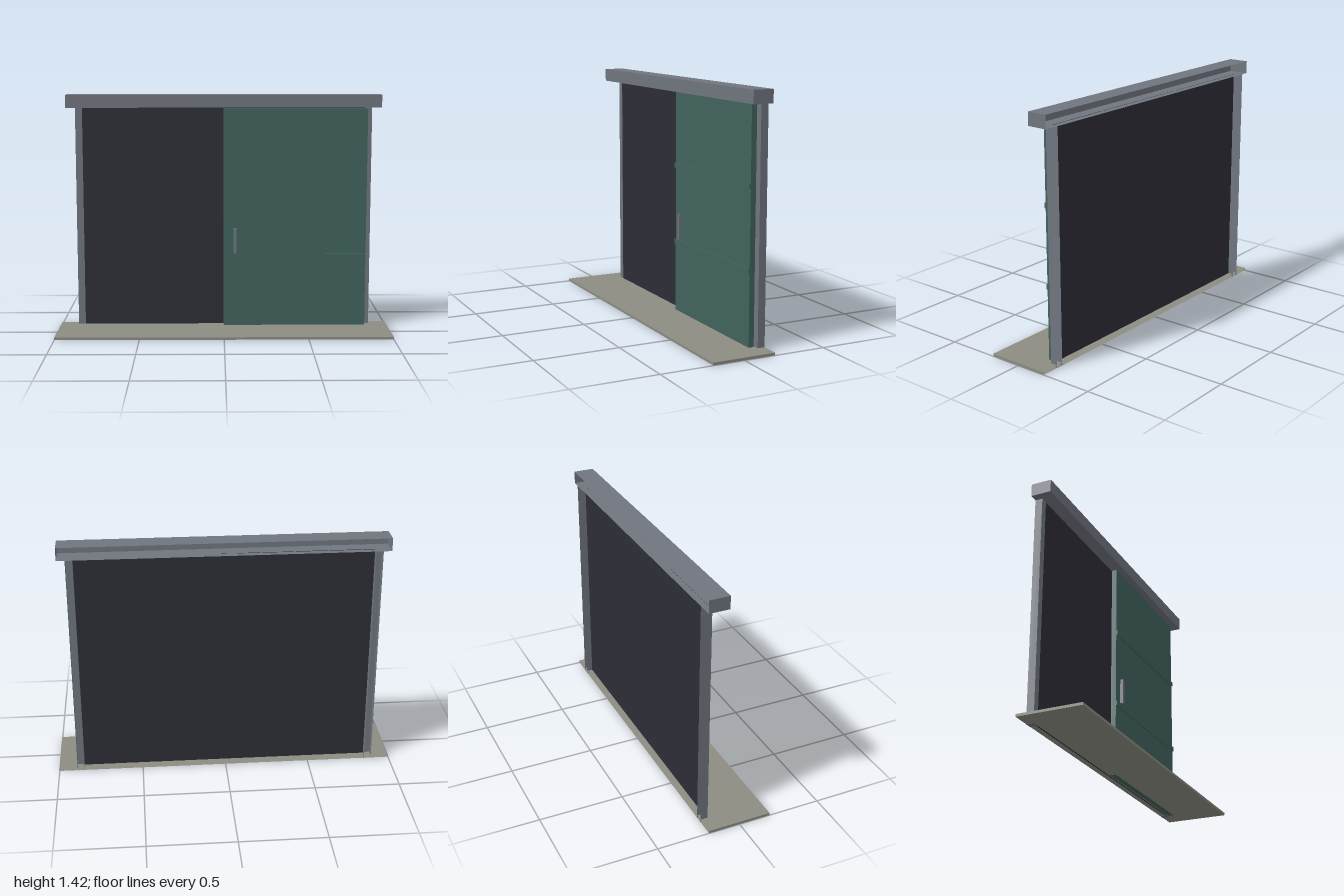
import * as THREE from 'three';

const paint = (name, color, side = THREE.FrontSide) => {
  const m = new THREE.MeshStandardMaterial({ color, side });
  m.name = name;
  return m;
};

// Box given by its limits; openBack leaves out the face toward -z
function block(name, material, [x0, x1], [y0, y1], [z0, z1], openBack = false) {
  const geo = new THREE.BoxGeometry(x1 - x0, y1 - y0, z1 - z0);
  if (openBack) {
    geo.setIndex(Array.from(geo.index.array).slice(0, 30));
    geo.clearGroups();
  }
  const mesh = new THREE.Mesh(geo, material);
  mesh.position.set((x0 + x1) / 2, (y0 + y1) / 2, (z0 + z1) / 2);
  mesh.name = name;
  return mesh;
}

export function createModel() {
  const steel = paint('steel grey', 0x70757e, THREE.DoubleSide);
  const stone = paint('threshold stone', 0x8c8c83, THREE.DoubleSide);
  const green = paint('door green', 0x41635c);
  const dark = paint('dark opening', 0x2d2d37);
  const model = new THREE.Group();
  model.name = 'slidingDoor';
  const back = -0.19;

  // Threshold slab, open along the rear
  model.add(block('threshold', stone, [-1, 1], [0.001, 0.016], [back, 0.19], true));

  // Dark opening behind the door
  model.add(block('opening', dark, [-0.85, 0.85], [0, 1.348], [-0.154, -0.147]));

  // Hollow frame: two posts and the track cover above
  model.add(block('rightPost', steel, [-0.892, -0.85], [0, 1.348], [back, -0.146], true));
  model.add(block('leftPost', steel, [0.85, 0.892], [0, 1.348], [back, -0.146], true));
  model.add(block('trackCover', steel, [-0.94, 0.94], [1.348, 1.424], [back, -0.069], true));

  // Sliding leaf with two cross rails and a pull handle
  const door = new THREE.Group();
  door.name = 'doorLeaf';
  door.add(block('doorPanel', green, [0, 0.863], [0, 1.341], [-0.138, -0.106]));
  for (const y of [0.444, 0.906]) {
    door.add(block('crossRail', green, [0, 0.863], [y - 0.015, y + 0.015], [-0.107, -0.098]));
  }
  door.add(block('handle', steel, [0.06, 0.077], [0.464, 0.618], [-0.106, -0.087]));
  model.add(door);

  return model;
}
